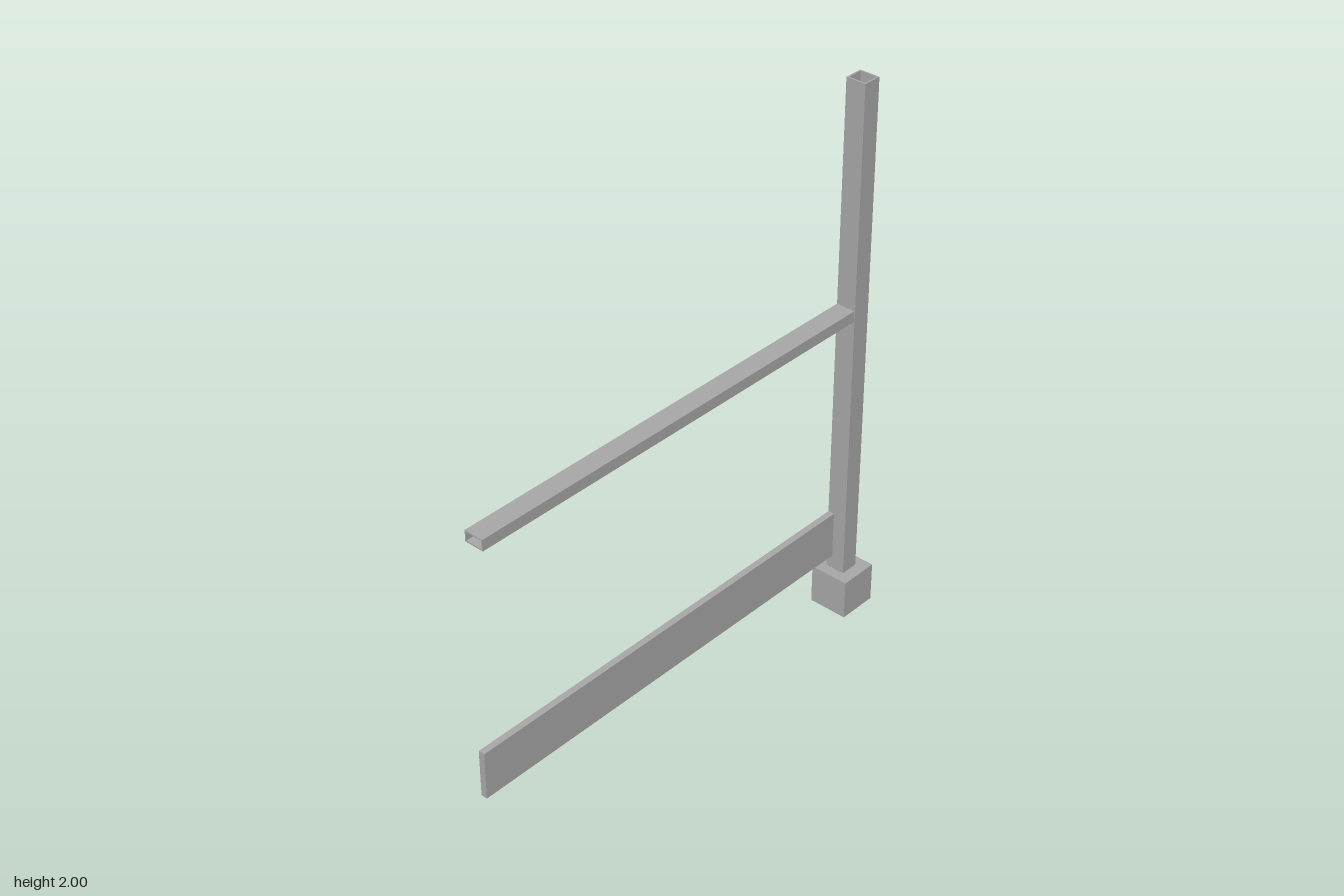
import * as THREE from 'three';

const steel = new THREE.MeshStandardMaterial({ color: 0xa8a8a8 });
steel.name = 'grey steel';

// Solid block given by its minimum and maximum corners
function block(name, [x0, y0, z0], [x1, y1, z1]) {
  const mesh = new THREE.Mesh(new THREE.BoxGeometry(x1 - x0, y1 - y0, z1 - z0), steel);
  mesh.position.set((x0 + x1) / 2, (y0 + y1) / 2, (z0 + z1) / 2);
  mesh.name = name;
  return mesh;
}

// Open rectangular tube extruded along +z from the origin
function hollowTube(name, w, h, length, wall) {
  const rect = (path, a, b) => path.moveTo(-a, -b).lineTo(a, -b).lineTo(a, b).lineTo(-a, b).closePath();
  const shape = rect(new THREE.Shape(), w / 2, h / 2);
  shape.holes.push(rect(new THREE.Path(), w / 2 - wall, h / 2 - wall));
  const mesh = new THREE.Mesh(
    new THREE.ExtrudeGeometry(shape, { depth: length, bevelEnabled: false }), steel);
  mesh.name = name;
  return mesh;
}

export function createModel() {
  const model = new THREE.Group();
  model.name = 'guardrailSection';
  const postX = 0.802, postZ = -0.007;

  // Footing block
  model.add(block('footing', [0.729, 0, -0.073], [0.875, 0.147, 0.073]));

  // Upright post, open at the top
  const post = hollowTube('post', 0.067, 0.074, 1.86, 0.006);
  post.rotation.x = -Math.PI / 2;
  post.position.set(postX, 0.14, postZ);
  model.add(post);

  // Hollow handrail running through the post
  const rail = hollowTube('handrail', 0.071, 0.04, 1.708, 0.005);
  rail.rotation.y = Math.PI / 2;
  rail.position.set(-0.875, 1.18, postZ - 0.001);
  model.add(rail);

  // Toe board, flush with the back of the post
  model.add(block('toeBoard', [-0.875, 0.198, -0.0435], [0.834, 0.376, -0.02]));

  // Small square fixing plates on the back
  const plates = [[0.033, -0.073, 0.02], [0.125, -0.073, 0.02], [1.18, postZ - 0.037, 0.016]];
  for (const [y, z, r] of plates) {
    model.add(block('fixingPlate', [postX - r, y - r, z - 0.002], [postX + r, y + r, z + 0.002]));
  }
  return model;
}
